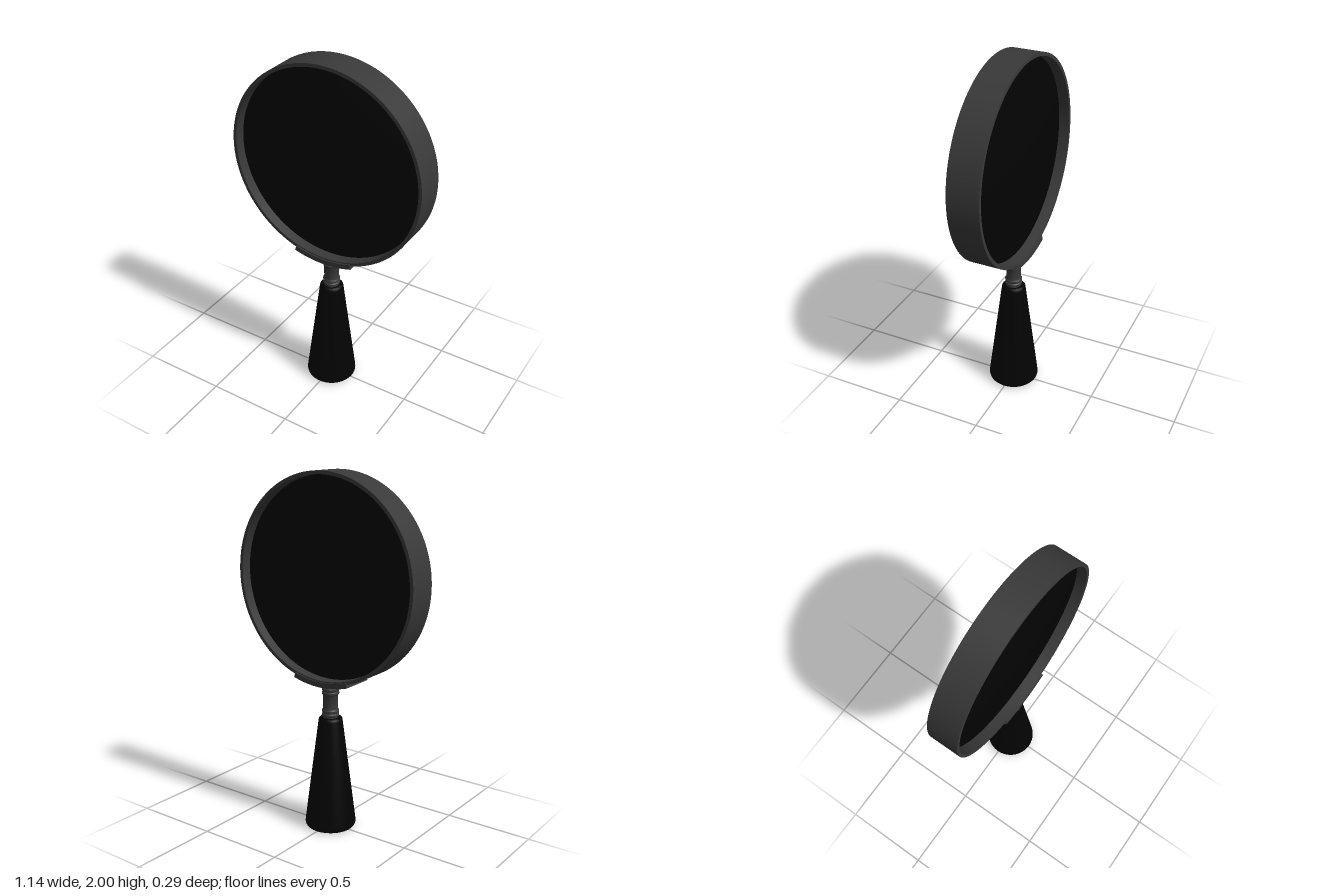
import * as THREE from 'three';
import { toCreasedNormals } from 'three/addons/utils/BufferGeometryUtils.js';

const metal = new THREE.MeshStandardMaterial({ color: 0x393939 });
const black = new THREE.MeshStandardMaterial({ color: 0x030303 });

const RING_Y = 1.432; // height of the lens centre
const RING_R = 0.569; // outer radius of the frame
const INNER_R = 0.55; // inner radius of the frame

// Turned part from [radius, height] pairs, with sharp edges kept
function turned(name, profile, material, segments) {
  const points = profile.map(([r, y]) => new THREE.Vector2(r, y));
  const geometry = toCreasedNormals(new THREE.LatheGeometry(points, segments), 0.6);
  const mesh = new THREE.Mesh(geometry, material);
  mesh.name = name;
  return mesh;
}

// Rounded bead for the neck profile
function bead(y, r, half) {
  return [[r - 0.005, y - half], [r, y - half * 0.5], [r, y + half * 0.5], [r - 0.005, y + half]];
}

export function createModel() {
  const group = new THREE.Group();
  group.name = 'magnifyingGlass';

  // Round frame and lens, turned about z
  const head = new THREE.Group();
  head.name = 'head';
  head.position.y = RING_Y;
  head.rotation.x = Math.PI / 2;

  const d = 0.089;
  head.add(turned('frame', [
    [INNER_R, -d], [RING_R, -d], [RING_R, d], [INNER_R, d], [INNER_R, -d],
  ], metal, 128));

  // Convex lens, its edge set back inside the frame
  const edge = 0.028, bulge = 0.047, steps = 12;
  const lensHalf = [];
  for (let i = 0; i <= steps; i++) {
    const t = 1 - i / steps;
    lensHalf.push([INNER_R * t, edge + bulge * (1 - t * t)]);
  }
  const lensBack = lensHalf.map(([r, z]) => [r, -z]).reverse();
  head.add(turned('lens', [...lensBack, ...lensHalf], black, 128));
  group.add(head);

  // Curved saddle under the frame
  const outer = 0.586, inner = 0.557, half = 0.312;
  const arc = new THREE.Shape();
  arc.absarc(0, 0, outer, -Math.PI / 2 - half, -Math.PI / 2 + half, false);
  arc.absarc(0, 0, inner, -Math.PI / 2 + half, -Math.PI / 2 - half, true);
  arc.closePath();
  const saddleGeometry = new THREE.ExtrudeGeometry(arc, {
    depth: 0.194, bevelEnabled: false, curveSegments: 24,
  });
  saddleGeometry.translate(0, RING_Y, -0.097);
  const saddle = new THREE.Mesh(toCreasedNormals(saddleGeometry, 0.6), metal);
  saddle.name = 'saddle';
  group.add(saddle);

  // Neck with paired beads at each end
  group.add(turned('neck', [
    [0, 0.64], [0.043, 0.64],
    ...bead(0.668, 0.048, 0.01), ...bead(0.69, 0.048, 0.01),
    [0.042, 0.704], [0.042, 0.782],
    ...bead(0.794, 0.048, 0.01), ...bead(0.816, 0.048, 0.01),
    [0.043, 0.832], [0.05, 0.845], [0.05, 0.856], [0, 0.856],
  ], metal, 48));

  // Tapered handle with rounded ends
  group.add(turned('handle', [
    [0, 0], [0.124, 0], [0.134, 0.004], [0.141, 0.012], [0.144, 0.024], [0.143, 0.036],
    [0.067, 0.636], [0.065, 0.645], [0.06, 0.651], [0.053, 0.653], [0, 0.653],
  ], black, 64));

  return group;
}
